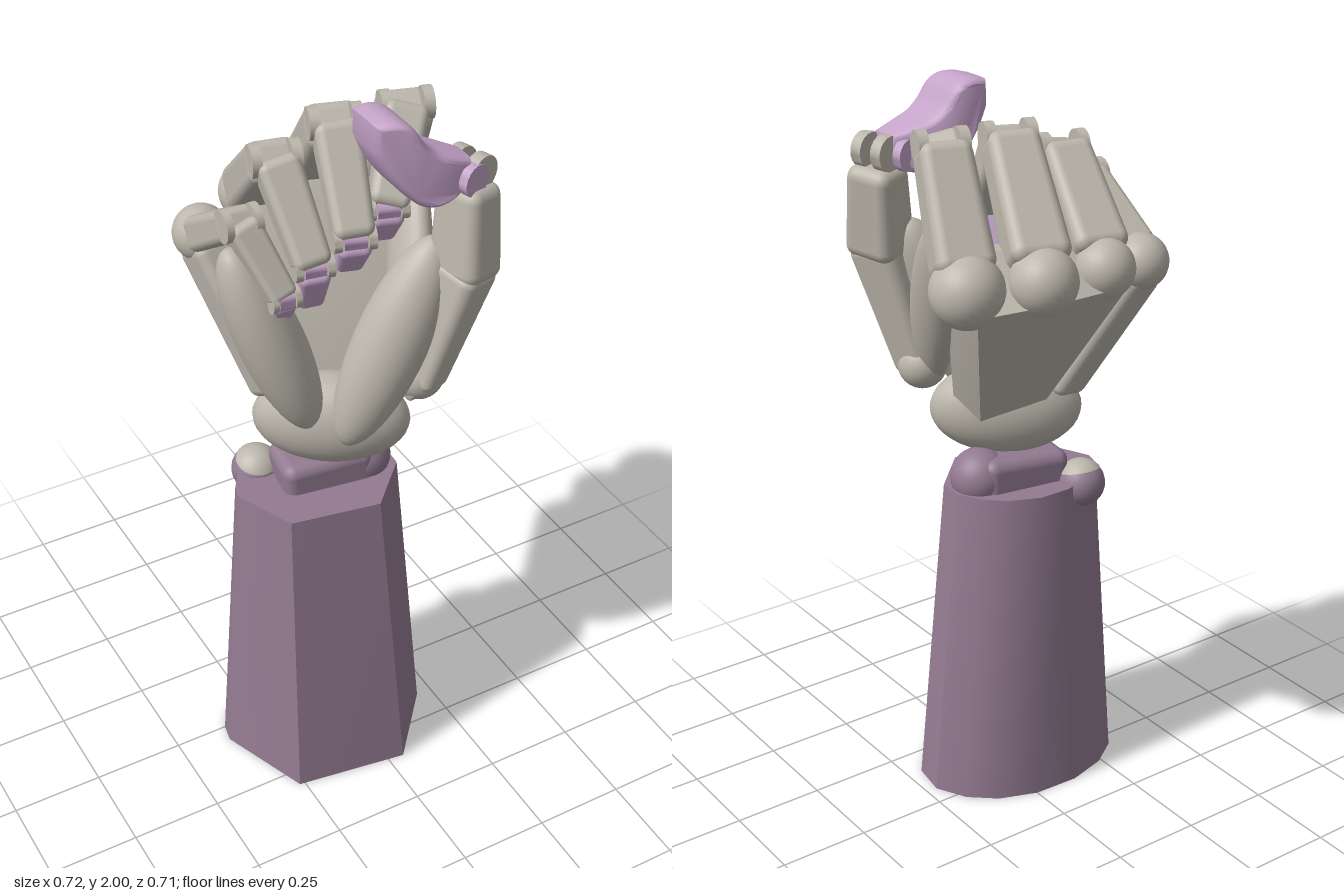
import * as THREE from 'three';
import { toCreasedNormals } from 'three/addons/utils/BufferGeometryUtils.js';
import { RoundedBoxGeometry } from 'three/addons/geometries/RoundedBoxGeometry.js';
import { ConvexGeometry } from 'three/addons/geometries/ConvexGeometry.js';

const V = (x, y, z) => new THREE.Vector3(x, y, z);
const material = (name, color) => {
  const m = new THREE.MeshStandardMaterial({ color });
  m.name = name;
  return m;
};

export function createModel() {
  const model = new THREE.Group();
  const grey = material('warm grey shell', 0xbcb7ac);
  const plum = material('dull purple sleeve', 0x937b92);
  const lilac = material('light purple tips', 0xc4a3c8);

  const add = (name, geometry, mat, parent = model) => {
    const mesh = new THREE.Mesh(geometry, mat);
    mesh.name = name;
    parent.add(mesh);
    return mesh;
  };
  // Places a mesh between two points: local y runs a to b, local x runs across
  const span = (mesh, a, b, across) => {
    const y = b.clone().sub(a).normalize();
    const x = across.clone().addScaledVector(y, -across.dot(y)).normalize();
    const z = x.clone().cross(y);
    mesh.quaternion.setFromRotationMatrix(new THREE.Matrix4().makeBasis(x, y, z));
    mesh.position.copy(a).add(b).multiplyScalar(0.5);
    return mesh;
  };
  const ball = (name, p, r, mat, parent = model) => {
    const mesh = add(name, new THREE.SphereGeometry(r, 28, 18), mat, parent);
    mesh.position.copy(p);
    return mesh;
  };
  const block = (name, a, b, across, w, d, mat, parent = model, taper = 1) => {
    const len = a.distanceTo(b);
    const g = new RoundedBoxGeometry(w, len, d, 3, Math.min(w, d) * 0.25);
    const p = g.attributes.position;
    for (let i = 0; i < p.count; i++) {
      const k = 1 + (taper - 1) * (p.getY(i) / len + 0.5);
      p.setXYZ(i, p.getX(i) * k, p.getY(i), p.getZ(i) * k);
    }
    return span(add(name, g, mat, parent), a, b, across);
  };
  const pad = (name, a, b, across, w, d) => {
    const g = new THREE.SphereGeometry(1, 32, 24).scale(w, a.distanceTo(b) / 2, d);
    return span(add(name, g, grey), a, b, across);
  };
  const pin = (name, p, across, r, len, offset, mat, parent) => {
    const g = new THREE.CylinderGeometry(r, r, len, 18);
    const mesh = add(name, toCreasedNormals(g, 0.7), mat, parent);
    mesh.quaternion.setFromUnitVectors(V(0, 1, 0), across);
    mesh.position.copy(p).addScaledVector(across, offset);
  };

  // Forearm sleeve: faceted front, rounded back, lofted between two outlines
  const low = [[-0.36, 0.05], [-0.265, 0.3], [0.045, 0.347], [0.205, 0.16], [0.22, 0.06], [0.175, -0.025],
    [0.105, -0.085], [0, -0.125], [-0.13, -0.13], [-0.24, -0.1], [-0.32, -0.045], [-0.35, 0.0]];
  const high = [[-0.31, 0.06], [-0.24, 0.225], [0, 0.268], [0.125, 0.14], [0.13, 0.07], [0.1, 0.012],
    [0.045, -0.045], [-0.04, -0.08], [-0.13, -0.08], [-0.21, -0.06], [-0.27, -0.02], [-0.3, 0.025]];
  const n = low.length, tri = [];
  const L = low.map(([x, z]) => [x, 0, z]), H = high.map(([x, z]) => [x, 0.9, z]);
  for (let i = 0; i < n; i++) {
    const j = (i + 1) % n;
    tri.push(L[i], L[j], H[j], L[i], H[j], H[i]);
    tri.push([-0.07, 0, 0.1], L[j], L[i], [-0.09, 0.9, 0.08], H[i], H[j]);
  }
  const sleeve = new THREE.BufferGeometry();
  sleeve.setAttribute('position', new THREE.Float32BufferAttribute(tri.flat(), 3));
  add('forearm', toCreasedNormals(sleeve, 0.6), plum);

  // Wrist hinge
  ball('wristBall', V(0.045, 0.925, 0.085), 0.08, plum);
  block('wristBar', V(0.06, 0.925, 0.085), V(-0.19, 0.915, 0.05), V(0, 0, 1), 0.16, 0.13, plum);
  const stud = V(-0.205, 0.885, -0.04);
  ball('wristStud', stud, 0.066, plum);
  const cap = add('wristStudCap', new THREE.SphereGeometry(0.068, 24, 10, 0, Math.PI * 2, 0, 1.0), grey);
  cap.position.copy(stud);
  cap.rotation.x = 0.25;
  const heel = add('wristKnob', new THREE.SphereGeometry(1, 32, 22).scale(0.205, 0.13, 0.1), grey);
  heel.position.set(-0.055, 1.1, 0.103);
  heel.rotation.y = -0.57;

  // Back of the hand
  const palm = new ConvexGeometry([
    V(0.1, 1.13, 0), V(-0.1, 1.15, -0.02), V(0.11, 1.17, 0.11), V(-0.12, 1.17, 0.08),
    V(0.28, 1.67, -0.1), V(0.28, 1.53, -0.25), V(0.11, 1.55, -0.32), V(-0.09, 1.55, -0.32),
    V(-0.17, 1.53, -0.27), V(0.1, 1.65, -0.2), V(-0.1, 1.65, -0.2), V(-0.19, 1.58, -0.16)]);
  add('palm', toCreasedNormals(palm, 0.35), grey);
  block('outerPalmBone', V(-0.165, 1.17, 0.02), V(-0.262, 1.54, -0.19), V(1, 0, -0.1), 0.11, 0.12, grey);

  // Fleshy pads of the palm
  pad('outerPalmPad', V(-0.125, 1.11, 0.13), V(-0.305, 1.65, 0.035), V(1, 0, 0.35), 0.085, 0.09);
  pad('thumbPad', V(-0.07, 1.08, 0.2), V(0.18, 1.64, 0.22), V(1, 0, 0.6), 0.095, 0.085);
  pad('thumbWeb', V(0.1, 1.18, 0.24), V(0.29, 1.73, -0.11), V(1, 0, 0), 0.05, 0.09);

  // Four curled fingers: knuckle, middle joint, end joint, tip, width, knuckle radius
  const fingers = [
    ['index', V(0.265, 1.58, -0.185), V(0.207, 1.89, 0.005), V(0.085, 1.7, 0.13), V(0.105, 1.59, 0.06), 0.155, 0.095],
    ['middle', V(0.1, 1.595, -0.272), V(0.02, 1.885, -0.015), V(-0.015, 1.65, 0.145), V(0.015, 1.53, 0.06), 0.158, 0.087],
    ['ring', V(-0.09, 1.59, -0.268), V(-0.145, 1.83, -0.015), V(-0.125, 1.6, 0.14), V(-0.1, 1.46, 0.07), 0.148, 0.078],
    ['little', V(-0.26, 1.555, -0.2), V(-0.272, 1.72, 0.045), V(-0.21, 1.54, 0.145), V(-0.195, 1.44, 0.08), 0.114, 0.074],
  ];
  for (const [name, k, p, d, t, w, r] of fingers) {
    const g = new THREE.Group();
    g.name = name + 'Finger';
    model.add(g);
    const across = V(p.z - k.z, 0, k.x - p.x).normalize();
    ball('knuckle', k, r, grey, g);
    block('lowerSegment', k.clone().lerp(p, 0.1), p, across, w, w * 0.82, grey, g, 0.86);
    block('middleSegment', p, d, across, w * 0.76, w * 0.64, grey, g, 0.84);
    block('fingertip', d, t, across, w * 0.56, w * 0.54, lilac, g, 0.78);
    pin('endHinge', d, across, 0.028, w * 0.36, 0, lilac, g);
    for (const s of [-1, 1]) {
      pin('middleHinge', p, across, 0.042, w * 0.17, s * w * 0.34, grey, g);
      pin('endHingeCheek', d, across, 0.03, w * 0.13, s * w * 0.27, grey, g);
    }
  }

  // Thumb: flat-sided bone widening into a broad segment
  const thumb = new THREE.Group();
  thumb.name = 'thumb';
  model.add(thumb);
  const side = V(0.94, 0, -0.34);
  ball('thumbBase', V(0.14, 1.235, 0.21), 0.067, grey, thumb);
  block('thumbBone', V(0.14, 1.22, 0.222), V(0.222, 1.58, 0.275), side, 0.095, 0.105, grey, thumb, 1.4);
  block('thumbSegment', V(0.222, 1.54, 0.272), V(0.242, 1.79, 0.245), side, 0.135, 0.155, grey, thumb, 0.84);
  const axis = V(0.3, 0, 0.95).normalize();
  for (const s of [-1, 1]) {
    pin('thumbHinge', V(0.245, 1.825, 0.24), axis, 0.046, 0.032, s * 0.032, grey, thumb);
    pin('thumbTipCheek', V(0.21, 1.82, 0.235), axis, 0.042, 0.024, s * 0.056, lilac, thumb);
  }

  // Thumb tip: curved profile, narrowed at both ends and sheared to follow the thumb
  const tip = new THREE.Shape();
  tip.moveTo(0.002, 1.985);
  tip.quadraticCurveTo(0.05, 2.0, 0.075, 1.96);
  tip.quadraticCurveTo(0.105, 1.9, 0.15, 1.885);
  tip.lineTo(0.215, 1.86);
  tip.quadraticCurveTo(0.225, 1.82, 0.2, 1.8);
  tip.quadraticCurveTo(0.14, 1.76, 0.1, 1.785);
  tip.quadraticCurveTo(0.035, 1.84, 0.002, 1.93);
  tip.closePath();
  const tipShape = new THREE.ExtrudeGeometry(tip, {
    depth: 0.08, bevelSize: 0.014, bevelThickness: 0.035, bevelSegments: 4, curveSegments: 8 });
  const q = tipShape.attributes.position;
  for (let i = 0; i < q.count; i++) {
    const x = q.getX(i);
    const k = 1.02 - 22 * (x - 0.085) ** 2;
    q.setZ(i, (q.getZ(i) - 0.04) * k + 0.177 + 0.27 * x);
  }
  add('thumbTip', toCreasedNormals(tipShape, 0.6), lilac, thumb);

  return model;
}
